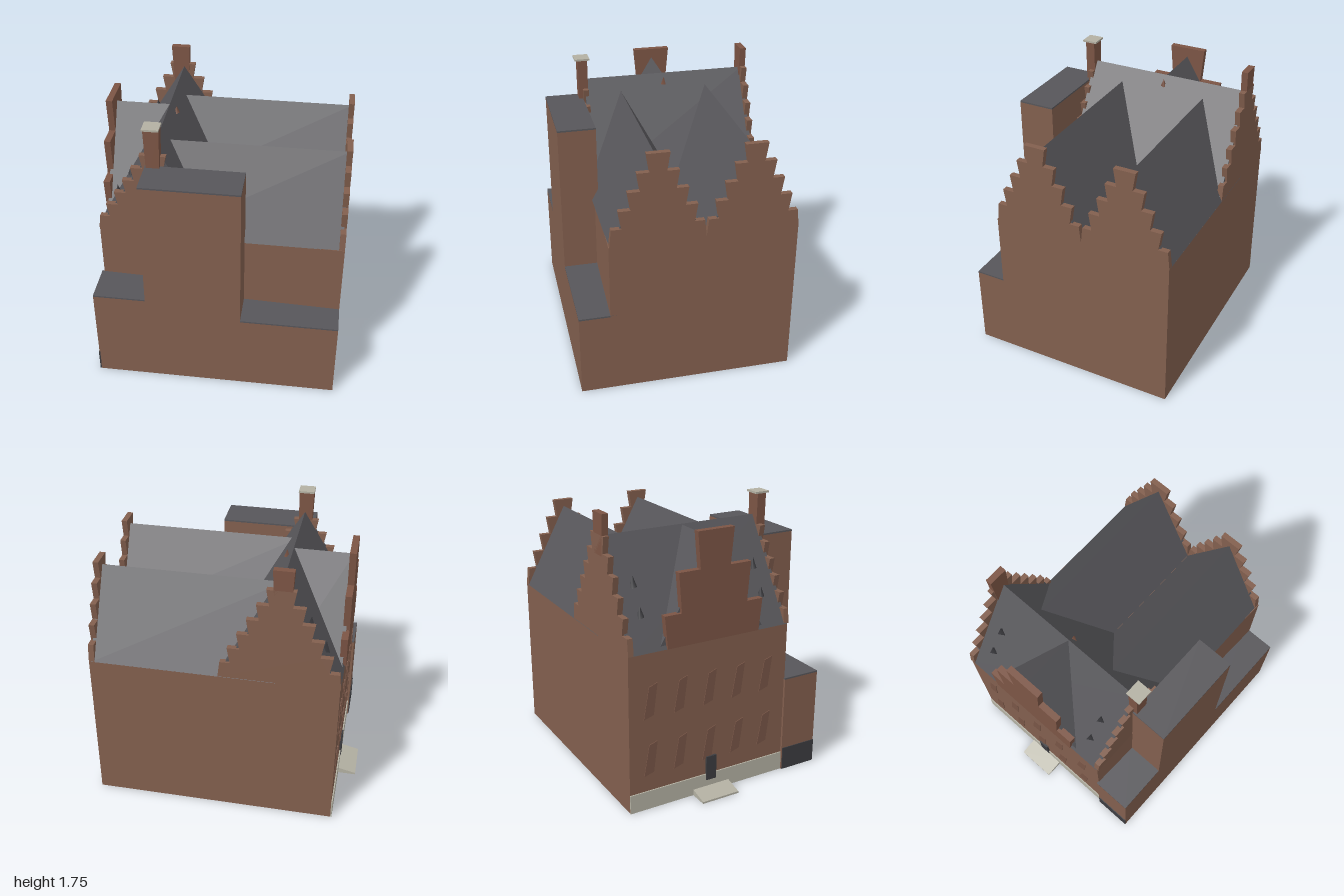
import * as THREE from 'three';

const mat = (name, color) => {
  const m = new THREE.MeshStandardMaterial({ color });
  m.name = name;
  return m;
};

export function createModel() {
  const brick = mat('brick', 0x825f4e);
  const chimneyBrick = mat('chimney brick', 0x7c5545);
  const slate = mat('slate', 0x57565a);
  const dark = mat('dark grey', 0x3c3c40);
  const stone = mat('stone', 0xb3b0a2);
  const pane = mat('recess', 0x785546);

  const model = new THREE.Group();
  model.name = 'house';
  const house = new THREE.Group();
  house.name = 'building';
  house.rotation.y = -THREE.MathUtils.degToRad(29.5);
  model.add(house);

  const add = (name, geo, material) => {
    const m = new THREE.Mesh(geo, material);
    m.name = name;
    house.add(m);
    return m;
  };
  // Box given by its extents
  const box = (name, x0, x1, y0, y1, z0, z1, material) =>
    add(name, new THREE.BoxGeometry(x1 - x0, y1 - y0, z1 - z0)
      .translate((x0 + x1) / 2, (y0 + y1) / 2, (z0 + z1) / 2), material);
  const outline = (pts, depth) => new THREE.ExtrudeGeometry(
    new THREE.Shape(pts.map(p => new THREE.Vector2(p[0], p[1]))), { depth, bevelEnabled: false });

  // Main walls, with a slightly skewed front
  add('mainWalls', outline([[-0.755, -0.67], [0.765, -0.67], [0.765, 0.475], [-0.755, 0.42]], 1)
    .rotateX(Math.PI / 2).translate(0, 1, 0), brick);

  // Front row: low annex, stair tower, lower annex, each with a flat slate top
  const fronts = [
    ['leftAnnex', -0.77, -0.44, 0.635, 0.415],
    ['tower', -0.44, 0.157, 1.48, 0.43],
    ['rightAnnex', 0.157, 0.765, 0.53, 0.43],
  ];
  for (const [name, x0, x1, h, z0] of fronts) {
    box(name, x0, x1, 0, h - 0.006, z0, 0.665, brick);
    box(name + 'Roof', x0, x1, h - 0.006, h + 0.004, z0, 0.665, slate);
  }

  // Pitched roofs: main one along z, two wings and a cross gable along x
  const prism = (half, peak, length) => outline([[-half, 0.998], [half, 0.998], [0, peak]], length);
  add('mainRoof', prism(0.373, 1.605, 1.07).translate(-0.385, 0, -0.655), slate);
  const wings = [[-0.388, 0.283], [0.182, 0.288]];
  for (const [z, half] of wings) {
    add('wingRoof', prism(half, 1.52, 1.125).rotateY(Math.PI / 2).translate(-0.375, 0, z), slate);
  }
  add('crossRoof', prism(0.36, 1.6, 0.36).rotateY(Math.PI / 2).translate(-0.745, 0, -0.11), slate);

  // Crow-stepped gable: each step flares a little towards its top
  const steppedGable = (half, top, n, topHalf, depth) => {
    const right = [];
    for (let i = 0; i < n; i++) {
      const w = THREE.MathUtils.lerp(half, topHalf, i / (n - 1));
      const y0 = 1 + (top - 1) * i / n, y1 = 1 + (top - 1) * (i + 1) / n;
      right.push([i ? w - 0.018 : half, y0], [i ? w : w - 0.012, y1]);
    }
    const left = right.map(([x, y]) => [-x, y]).reverse();
    return outline([...right, ...left], depth);
  };
  for (const [z, half] of wings) {
    add('wingGable', steppedGable(half, 1.565, 5, 0.068, 0.035)
      .rotateY(Math.PI / 2).translate(0.73, 0, z), brick);
  }
  add('backGable', steppedGable(0.365, 1.62, 6, 0.085, 0.035).translate(-0.395, 0, -0.67), brick);
  add('frontGable', steppedGable(0.36, 1.55, 6, 0.08, 0.035).translate(-0.395, 0, 0.395), brick);

  // Side gable in three broad tiers
  const tiers = [[0.33, 1.0, 1.2], [0.24, 1.2, 1.44], [0.12, 1.44, 1.66]];
  for (const [half, y0, y1] of tiers) {
    add('sideGableTier', outline([[-half + 0.02, y0], [half - 0.02, y0], [half, y1], [-half, y1]], 0.04)
      .rotateY(Math.PI / 2).translate(-0.765, 0, -0.11), chimneyBrick);
  }

  // Chimneys
  const flaredStack = (w, d, y0, y1) => {
    const g = new THREE.BoxGeometry(w, y1 - y0, d).translate(0, (y0 + y1) / 2, 0);
    const p = g.attributes.position;
    for (let i = 0; i < p.count; i++) if (p.getY(i) < (y0 + y1) / 2) p.setX(i, p.getX(i) * 0.8);
    g.computeVertexNormals();
    return g;
  };
  add('backChimney', flaredStack(0.12, 0.04, 1.5, 1.745).translate(-0.405, 0, -0.65), chimneyBrick);
  add('frontChimney', flaredStack(0.095, 0.06, 1.4, 1.74).translate(-0.39, 0, 0.425), chimneyBrick);
  box('chimneyCap', -0.44, -0.34, 1.74, 1.752, 0.38, 0.475, stone);

  // Small roof vents
  const vents = [[-0.637, -0.535], [-0.543, -0.53], [-0.644, 0.285], [-0.549, 0.288]];
  for (const [x, z] of vents) {
    const y = 1 + 0.607 * (x + 0.758) / 0.373;
    add('roofVent', new THREE.ConeGeometry(0.028, 0.07, 3).toNonIndexed()
      .translate(x - 0.012, y + 0.01, z), dark);
  }
  add('ridgeVent', new THREE.ConeGeometry(0.02, 0.05, 3).translate(-0.345, 1.565, -0.11), chimneyBrick);

  // Entrance side: stone plinth, dark annex base, door, step
  box('plinth', -0.763, -0.75, 0, 0.12, -0.67, 0.42, stone);
  box('annexBase', -0.775, -0.765, 0, 0.15, 0.42, 0.665, dark);
  box('door', -0.768, -0.75, 0.08, 0.24, -0.15, -0.08, dark);
  add('entranceStep', outline([[-0.877, 0], [-0.755, 0], [-0.755, 0.04], [-0.877, 0.012]], 0.254)
    .translate(0, 0, -0.24), stone);

  // Shallow slanted window recesses
  for (const y of [0.33, 0.7]) {
    for (let i = 0; i < 5; i++) {
      add('window', outline([[-0.045, -0.11], [0.02, -0.09], [0.045, 0.11], [-0.01, 0.09]], 0.005)
        .rotateY(-Math.PI / 2).translate(-0.754, y, -0.53 + i * 0.2), pane);
    }
  }
  return model;
}
